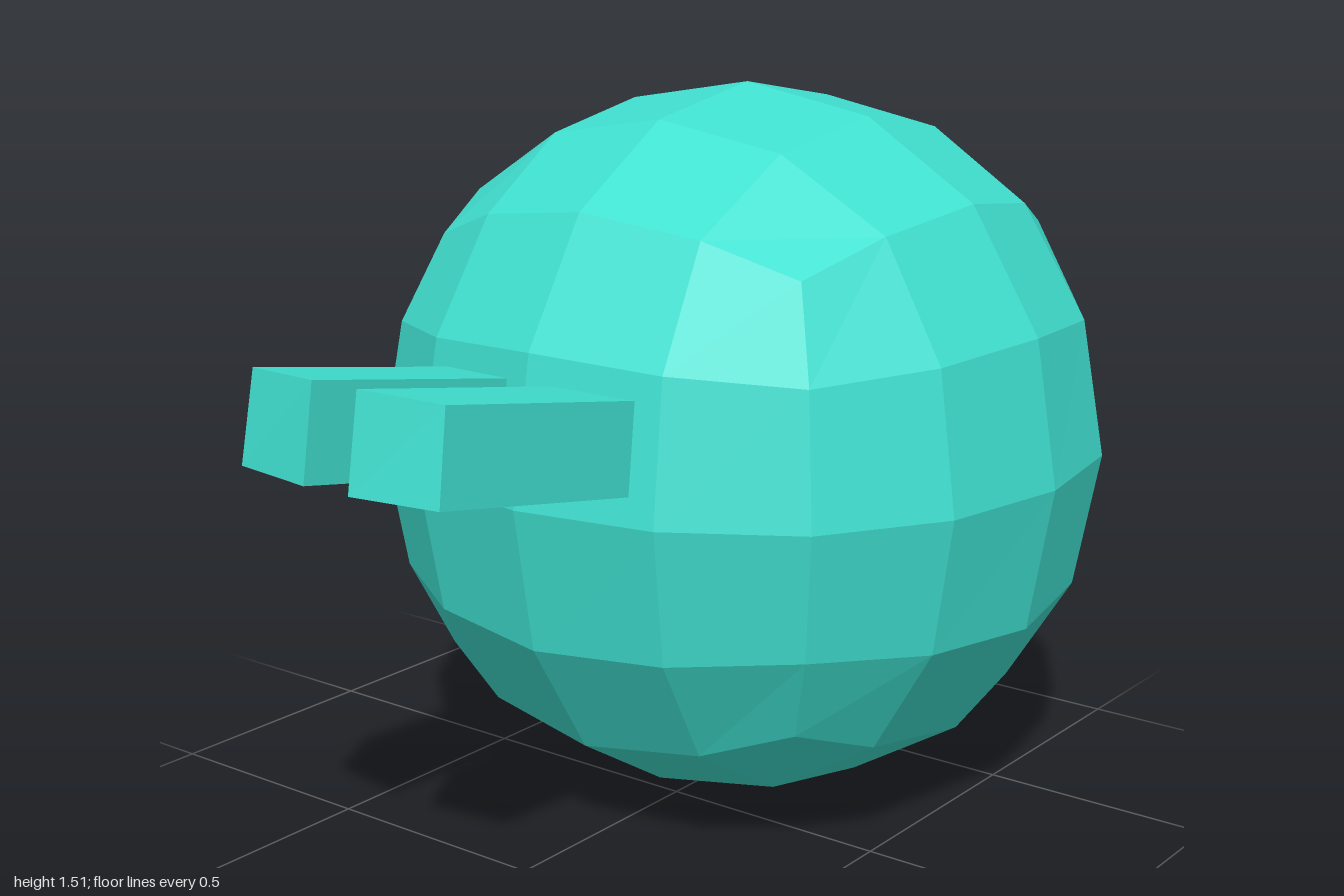
import * as THREE from 'three';

const material = new THREE.MeshStandardMaterial({ color: 0x40e0d0, flatShading: true });

// Moves every vertex of a geometry by a rule, then facets it
function shaped(geometry, rule) {
  const p = geometry.attributes.position;
  const v = new THREE.Vector3();
  for (let i = 0; i < p.count; i++) {
    rule(v.fromBufferAttribute(p, i));
    p.setXYZ(i, v.x, v.y, v.z);
  }
  const flat = geometry.toNonIndexed();
  flat.computeVertexNormals();
  return flat;
}

function addMesh(group, name, geometry) {
  const mesh = new THREE.Mesh(geometry, material);
  mesh.name = name;
  group.add(mesh);
  return mesh;
}

// Twice-subdivided cube: grid steps (0, 1, 2 from the middle) map to rounded
// distances; the key is the vertex's steps in descending order
const ROUNDED = {
  200: [0, 0, 0.757],
  210: [0, 0.3, 0.705],
  220: [0, 0, 0.55],
  211: [0, 0.285, 0.657],
  221: [0, 0.267, 0.517],
  222: [0, 0, 0.451],
};

function roundedCube() {
  return shaped(new THREE.BoxGeometry(4, 4, 4, 4, 4, 4), (v) => {
    const steps = v.toArray().map((c) => Math.round(Math.abs(c)));
    const table = ROUNDED[[...steps].sort().reverse().join('')];
    v.set(
      Math.sign(v.x) * table[steps[0]],
      Math.sign(v.y) * table[steps[1]],
      Math.sign(v.z) * table[steps[2]],
    );
  });
}

// Rising bar whose end faces slant back towards the outer side
function bar(side) {
  return shaped(new THREE.BoxGeometry(2, 2, 2), (v) => {
    const outer = v.x * side > 0;
    const top = v.y > 0;
    const back = v.z < 0;
    const x = outer ? (top ? 0.236 : 0.244) : 0.055;
    const y = top ? (outer ? 1.083 : 1.09) : 0.905;
    const z = (top ? 0.97 : 1.0) - (outer ? 0.028 : 0);
    v.set(side * x, y - (back ? 0.09 : 0), z - (back ? 0.507 : 0));
  });
}

export function createModel() {
  const model = new THREE.Group();
  model.name = 'model';

  // Round body
  addMesh(model, 'body', roundedCube()).position.set(0, 0.757, -0.243);

  // Pair of bars on the front
  addMesh(model, 'leftBar', bar(1));
  addMesh(model, 'rightBar', bar(-1));

  return model;
}
